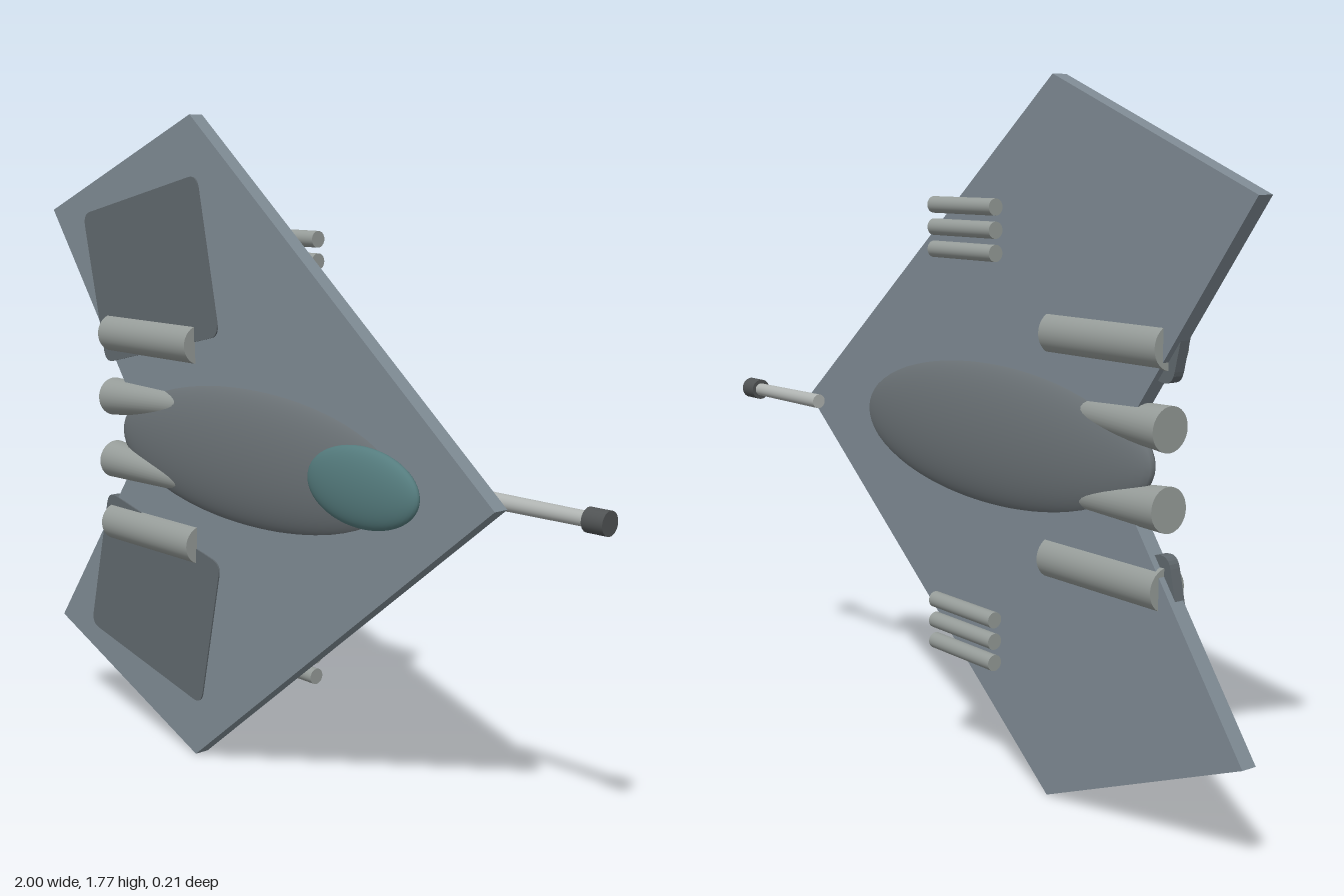
import * as THREE from 'three';

const CY = 0.885; // height of the craft's long axis

const mat = (color) => new THREE.MeshStandardMaterial({ color });

function add(parent, name, geometry, material) {
  const mesh = new THREE.Mesh(geometry, material);
  mesh.name = name;
  parent.add(mesh);
  return mesh;
}

// Round bar between two points, with its own radius at each end
function bar(parent, name, from, to, rFrom, rTo, material) {
  const a = new THREE.Vector3(...from), b = new THREE.Vector3(...to);
  const dir = b.clone().sub(a);
  const mesh = add(parent, name, new THREE.CylinderGeometry(rTo, rFrom, dir.length(), 32), material);
  mesh.position.copy(a).add(b).multiplyScalar(0.5);
  mesh.quaternion.setFromUnitVectors(new THREE.Vector3(0, 1, 0), dir.normalize());
  return mesh;
}

function ellipsoid(parent, name, centre, radii, material) {
  const geo = new THREE.SphereGeometry(1, 48, 32);
  geo.scale(...radii);
  add(parent, name, geo, material).position.set(...centre);
}

function slab(shape, z0, z1) {
  const geo = new THREE.ExtrudeGeometry(shape, { depth: z1 - z0, bevelEnabled: false, curveSegments: 6 });
  return geo.translate(0, 0, z0);
}

// Polygon with rounded corners
function roundedShape(points, r) {
  const pts = points.map((p) => new THREE.Vector2(...p));
  const shape = new THREE.Shape();
  pts.forEach((p, i) => {
    const prev = pts[(i + pts.length - 1) % pts.length], next = pts[(i + 1) % pts.length];
    const a = prev.clone().sub(p).setLength(r).add(p);
    const b = next.clone().sub(p).setLength(r).add(p);
    if (i === 0) shape.moveTo(a.x, a.y);
    else shape.lineTo(a.x, a.y);
    shape.quadraticCurveTo(p.x, p.y, b.x, b.y);
  });
  shape.closePath();
  return shape;
}

export function createModel() {
  const model = new THREE.Group();
  model.name = 'deltaWingCraft';
  const craft = new THREE.Group();
  craft.name = 'craft';
  craft.position.y = CY;
  model.add(craft);

  const hull = mat(0x7e8a93), body = mat(0x6b7276), panel = mat(0x60686d);
  const metal = mat(0x969c99), barrel = mat(0xb0b4b2), dark = mat(0x505354), glass = mat(0x557c7e);

  // Arrowhead wing plate
  const outline = [[0.76, 0], [-0.34, 0.885], [-1, 0.618], [-0.55, 0], [-1, -0.618], [-0.34, -0.885]];
  const wing = new THREE.Shape(outline.map((p) => new THREE.Vector2(...p)));
  add(craft, 'wing', slab(wing, -0.012, 0.03), hull);

  // Fuselage and canopy
  ellipsoid(craft, 'fuselage', [-0.1, 0, 0.01], [0.585, 0.192, 0.062], body);
  ellipsoid(craft, 'canopy', [0.368, 0, 0.067], [0.192, 0.101, 0.036], glass);

  // Parts that repeat above and below the long axis
  for (const s of [1, -1]) {
    const side = s > 0 ? 'upper' : 'lower';
    const corners = [[-0.84, 0.61], [-0.31, 0.73], [-0.22, 0.31], [-0.74, 0.19]];
    const flap = roundedShape(corners.map(([x, y]) => [x, y * s]), 0.035);
    add(craft, side + 'WingPanel', slab(flap, 0.005, 0.034), panel);

    bar(craft, side + 'OuterEngine', [-0.728, 0.277 * s, 0.015], [-0.325, 0.277 * s, 0.015], 0.053, 0.053, metal);
    bar(craft, side + 'InnerEngine', [-0.728, 0.092 * s, 0.015], [-0.325, 0.106 * s, 0.015], 0.054, 0.031, metal);

    // Cluster of three tubes behind the wing
    const cluster = new THREE.Group();
    cluster.name = side + 'TubeCluster';
    craft.add(cluster);
    for (const i of [-1, 0, 1]) {
      const y = s * 0.517 + i * 0.056;
      bar(cluster, 'tube', [-0.185, y, -0.058], [0.07, y, -0.058], 0.021, 0.021, metal);
    }
  }

  // Nose gun, tilted slightly backwards
  bar(craft, 'gunBarrel', [0.63, 0, -0.063], [0.95, 0, -0.074], 0.02, 0.018, barrel);
  bar(craft, 'gunMuzzle', [0.942, 0, -0.073], [0.999, 0, -0.075], 0.029, 0.029, dark);

  return model;
}
